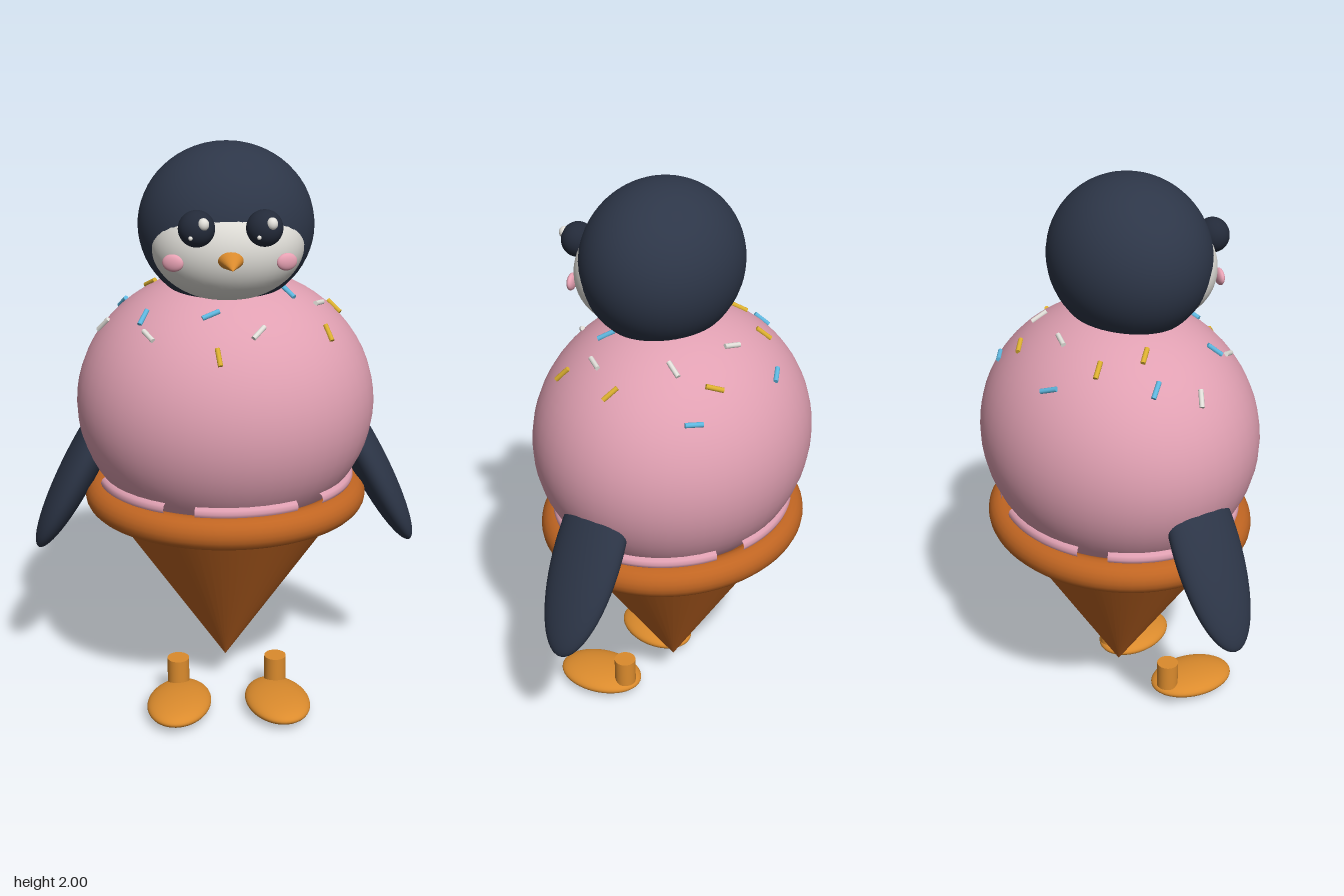
import * as THREE from 'three';

const mat = (name, color) => {
  const m = new THREE.MeshStandardMaterial({ color });
  m.name = name;
  return m;
};

export function createModel() {
  const root = new THREE.Group();
  root.name = 'iceCreamPenguin';

  const navy = mat('navy', 0x2d3648);
  const eyeDark = mat('eyeDark', 0x232a39);
  const pink = mat('pink', 0xe0a0b2);
  const cheekPink = mat('cheekPink', 0xe8a2b4);
  const white = mat('white', 0xe2e0da);
  const wafer = mat('wafer', 0xc06522);
  const waferInside = wafer.clone();
  waferInside.side = THREE.DoubleSide;
  const orange = mat('orange', 0xdb8b2d);
  const sky = mat('skyBlue', 0x5fb8e0);
  const yellow = mat('yellow', 0xdcb030);

  const add = (name, geometry, material, parent = root) => {
    const mesh = new THREE.Mesh(geometry, material);
    mesh.name = name;
    parent.add(mesh);
    return mesh;
  };
  const sphere = new THREE.SphereGeometry(1, 48, 32);
  const ellipsoid = (name, material, pos, radii, parent = root) => {
    const mesh = add(name, sphere, material, parent);
    mesh.position.set(...pos);
    mesh.scale.set(...radii);
    return mesh;
  };

  // Ice cream scoop body
  const C = [0, 1.11, 0], R = [0.51, 0.46, 0.46];
  ellipsoid('scoopBody', pink, C, R);

  // Softly broken lip where the scoop meets the wafer
  for (let i = 0; i < 6; i++) {
    const lip = add('scoopLip', new THREE.TorusGeometry(0.425, 0.022, 10, 20, 0.8), pink);
    lip.rotation.set(Math.PI / 2, 0, i * Math.PI / 3);
    const holder = new THREE.Group();
    holder.name = 'lipSection';
    holder.position.y = 0.845;
    holder.scale.z = 0.9;
    root.add(holder);
    holder.add(lip);
  }

  // Wafer cone and rim
  const cone = add('waferCone', new THREE.ConeGeometry(0.44, 0.66, 64, 1, true), waferInside);
  cone.rotation.x = Math.PI;
  cone.position.y = 0.45;
  cone.scale.z = 0.91;
  const rim = add('waferRim', new THREE.TorusGeometry(0.435, 0.056, 20, 72), wafer);
  rim.rotation.x = Math.PI / 2;
  rim.position.y = 0.778;
  rim.scale.y = 0.91;

  // Head and face
  ellipsoid('head', navy, [0, 1.73, 0.043], [0.29, 0.27, 0.262]);
  ellipsoid('face', white, [0, 1.69, 0.13], [0.252, 0.19, 0.198]);

  // Beak
  const beak = add('beak', new THREE.ConeGeometry(1, 1, 32), orange);
  beak.scale.set(0.047, 0.13, 0.034);
  beak.rotation.x = Math.PI / 2 + 0.06;
  beak.position.set(0, 1.67, 0.37);

  for (const s of [1, -1]) {
    // Eyes, with highlights on the same side of each
    ellipsoid('eye', eyeDark, [s * 0.106, 1.772, 0.308], [0.058, 0.058, 0.054]);
    ellipsoid('eyeHighlight', white, [s * 0.106 + 0.02, 1.793, 0.348], [0.018, 0.02, 0.018]);
    ellipsoid('eyeGlint', white, [s * 0.106 - 0.02, 1.752, 0.356], [0.007, 0.007, 0.007]);

    // Cheeks
    const cheek = ellipsoid('cheek', cheekPink, [s * 0.18, 1.657, 0.277], [0.035, 0.028, 0.014]);
    cheek.rotation.y = s * 0.35;

    // Wings
    const wing = ellipsoid('wing', navy, [s * 0.5, 0.88, -0.023], [0.064, 0.36, 0.13]);
    wing.rotation.z = s * 0.48;

    // Legs and splayed feet
    const leg = add('leg', new THREE.CylinderGeometry(0.039, 0.039, 0.1, 28), orange);
    leg.position.set(s * 0.175, 0.11, 0.094);
    const foot = ellipsoid('foot', orange, [s * 0.175, 0.043, 0.21], [0.112, 0.039, 0.159]);
    foot.rotation.y = s * 0.2;
  }

  // Sprinkles lying on the scoop: material, x, z, direction in plan
  const onScoop = (x, z) => new THREE.Vector3(x,
    C[1] + R[1] * Math.sqrt(Math.max(0, 1 - (x / R[0]) ** 2 - (z / R[2]) ** 2)), z);
  const sprinkles = [
    [sky, -0.09, -0.35, 15, -8], [yellow, -0.19, -0.23, 8, 12],
    [yellow, 0.165, -0.285, 12, 12], [sky, 0.28, -0.29, 14, 12],
    [white, 0.22, -0.165, 5, -15], [yellow, 0.37, -0.03, 12, 8],
    [white, 0.305, 0.085, 8, -14], [yellow, 0.325, 0.205, 6, 12],
    [sky, -0.345, -0.12, 8, 14], [white, -0.41, 0.01, 12, 8],
    [yellow, -0.25, -0.09, 6, 8], [sky, -0.275, 0.18, 5, -8],
    [white, -0.26, 0.255, 8, 13], [yellow, -0.04, 0.375, 2, 8],
    [sky, -0.06, 0.265, 14, -4], [white, 0.09, 0.315, 10, -10],
    [sky, 0.2, 0.12, 8, 10], [white, 0, -0.235, 12, 4],
  ];
  const group = new THREE.Group();
  group.name = 'sprinkles';
  root.add(group);
  const rod = new THREE.CylinderGeometry(0.0085, 0.0085, 0.06, 10);
  const up = new THREE.Vector3(0, 1, 0);
  for (const [material, x, z, dx, dz] of sprinkles) {
    const k = 0.012 / Math.hypot(dx, dz);
    const dir = onScoop(x + dx * k, z + dz * k).sub(onScoop(x - dx * k, z - dz * k)).normalize();
    const p = onScoop(x, z);
    const normal = new THREE.Vector3(...R.map((r, i) => (p.getComponent(i) - C[i]) / (r * r))).normalize();
    const sprinkle = add('sprinkle', rod, material, group);
    sprinkle.position.copy(p).addScaledVector(normal, 0.003);
    sprinkle.quaternion.setFromUnitVectors(up, dir);
  }

  return root;
}
